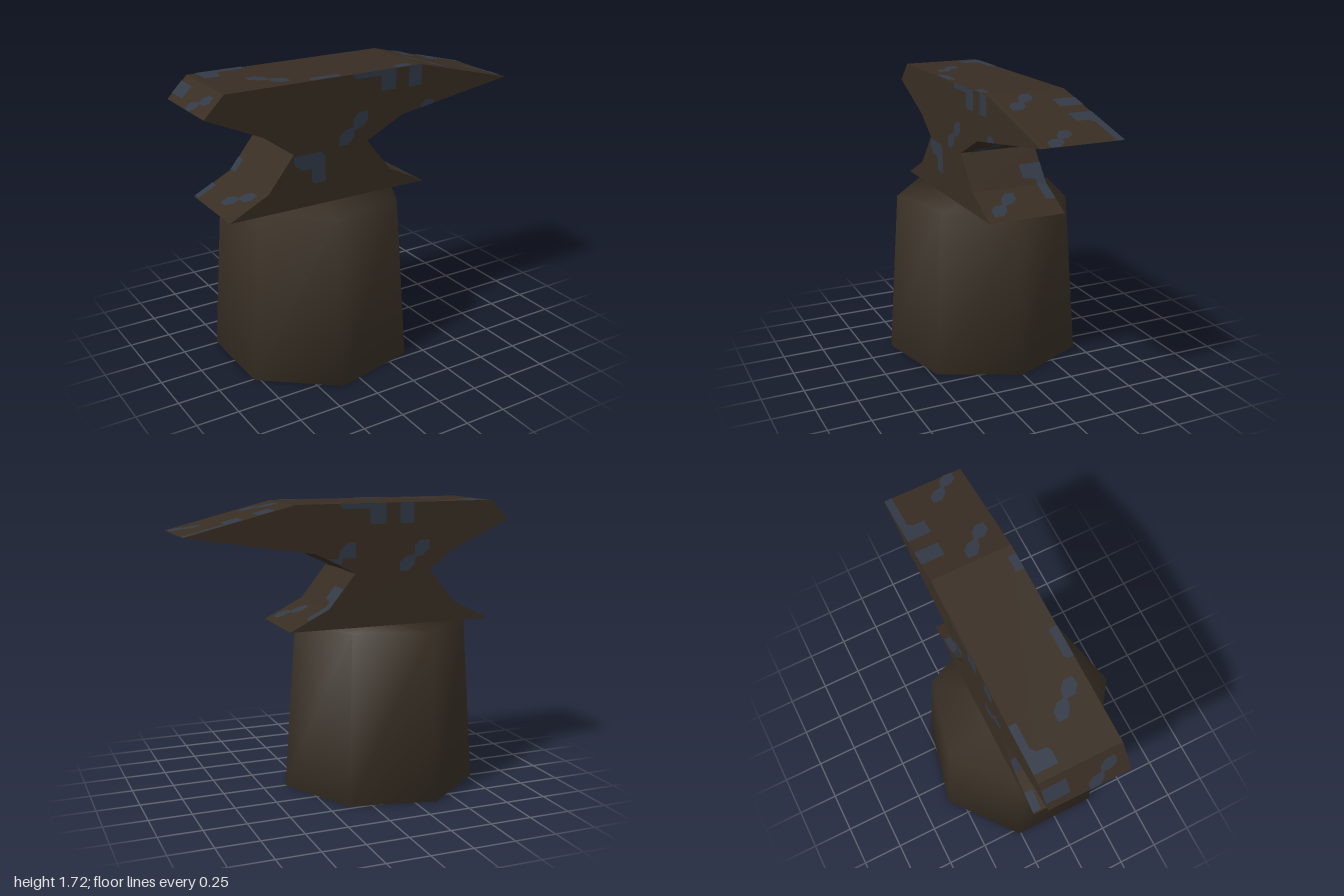
import * as THREE from 'three';
import { mergeVertices } from 'three/addons/utils/BufferGeometryUtils.js';

const HALF = 0.24; // half depth of the anvil
const LIFT = 0.003; // height of the painted patches above the metal

// Anvil outline, counter-clockwise seen from the front
const OUTLINE = [
  [-0.88, 1], [0.4, 1], [0.16, 1.12], [0, 1.32], [0.24, 1.44], [1, 1.56],
  [0.36, 1.72], [-0.88, 1.72], [-1, 1.6], [-0.64, 1.44], [-0.48, 1.32], [-0.64, 1.12],
];

const toShape = (pts) => new THREE.Shape(pts.map(([x, y]) => new THREE.Vector2(x, y)));

const box = (u0, v0, u1, v1) => [[u0, v0], [u1, v0], [u1, v1], [u0, v1]];

// Two blobs joined at a corner
const blob = (u0, v0, u1, v1) => [
  [1, 1], [0.7, 1], [0.5, 0.8], [0.5, 0.55], [0.25, 0.5], [0, 0.3],
  [0, 0], [0.3, 0], [0.5, 0.2], [0.55, 0.45], [0.8, 0.5], [1, 0.7],
].map(([u, v]) => [u0 + u * (u1 - u0), v0 + v * (v1 - v0)]);

export function createModel() {
  const wood = new THREE.MeshStandardMaterial({ color: 0x3a3126 });
  wood.name = 'dark wood';
  const metal = new THREE.MeshStandardMaterial({ color: 0x382d23 });
  metal.name = 'brown metal';
  const tint = new THREE.MeshStandardMaterial({ color: 0x323a47 });
  tint.name = 'blue patina';

  const model = new THREE.Group();
  model.name = 'anvilOnStump';
  const add = (geometry, material, name) => {
    const mesh = new THREE.Mesh(geometry, material);
    mesh.name = name;
    model.add(mesh);
    return mesh;
  };

  // Seven-sided stump, shaded smoothly over the rims
  let stumpGeo = new THREE.CylinderGeometry(0.53, 0.6, 1, 7);
  stumpGeo.deleteAttribute('normal');
  stumpGeo.deleteAttribute('uv');
  stumpGeo = mergeVertices(stumpGeo, 1e-4);
  stumpGeo.computeVertexNormals();
  const stump = add(stumpGeo, wood, 'stump');
  stump.rotation.y = Math.PI / 2;
  stump.position.set(-0.24, 0.5, 0);

  // Anvil body
  const anvilGeo = new THREE.ExtrudeGeometry(toShape(OUTLINE), { depth: 2 * HALF, bevelEnabled: false });
  anvilGeo.translate(0, 0, -HALF);
  add(anvilGeo, metal, 'anvil');

  // Patches on the flat sides; the back uses the same pattern turned around
  const corner = [[-0.1, 1.72], [-0.08, 1.69], [0.09, 1.69], [0.09, 1.6], [0.19, 1.6], [0.19, 1.72]];
  const strip = [[0.28, 1.6], [0.37, 1.6], [0.37, 1.717], [0.36, 1.72], [0.28, 1.72]];
  const frontPatches = [
    corner, strip,
    blob(-0.19, 1.32, 0, 1.5),
    [[0.37, 1.461], [0.46, 1.475], [0.46, 1.49], [0.44, 1.505], [0.4, 1.505], [0.37, 1.48]],
    [[-0.48, 1.31], [-0.48, 1.26], [-0.43, 1.22], [-0.37, 1.22], [-0.37, 1.15],
      [-0.35, 1.13], [-0.28, 1.13], [-0.28, 1.28], [-0.31, 1.31]],
  ];
  const backPatches = [
    corner, strip,
    blob(0.28, 1.32, 0.47, 1.5),
    [[0, 1.5], [-0.05, 1.5], [-0.1, 1.45], [-0.1, 1.41], [-0.17, 1.41], [-0.09, 1.37], [-0.08, 1.41], [0, 1.41]],
  ];
  for (const pts of frontPatches) {
    add(new THREE.ShapeGeometry(toShape(pts)).translate(0, 0, HALF + LIFT), tint, 'frontPatch');
  }
  for (const pts of backPatches) {
    const geo = new THREE.ShapeGeometry(toShape(pts)).translate(0, 0, HALF + LIFT);
    add(geo.rotateY(Math.PI), tint, 'backPatch');
  }

  // Patches on an outline edge: first coordinate is x or y (by axis), second is z
  const edgePatch = (i, axis, pts, name) => {
    const p = OUTLINE[i];
    const q = OUTLINE[(i + 1) % OUTLINE.length];
    const along = new THREE.Vector3(q[0] - p[0], q[1] - p[1], 0);
    const across = new THREE.Vector3(0, 0, 1);
    const normal = along.clone().cross(across).normalize();
    const local = pts.map(([c, z]) => [(c - p[axis]) / (q[axis] - p[axis]), z]);
    const matrix = new THREE.Matrix4().makeBasis(along, across, normal);
    matrix.setPosition(p[0] + normal.x * LIFT, p[1] + normal.y * LIFT, 0);
    add(new THREE.ShapeGeometry(toShape(local)).applyMatrix4(matrix), tint, name);
  };
  const X = 0, Y = 1;

  // Working face
  edgePatch(6, X, [[-0.83, -0.24], [-0.55, -0.24], [-0.55, -0.195], [-0.7, -0.195],
    [-0.73, -0.17], [-0.73, -0.12], [-0.75, -0.1], [-0.83, -0.1]], 'facePatch');
  edgePatch(6, X, blob(-0.645, 0, -0.455, 0.18), 'facePatch');
  edgePatch(6, X, [[-0.36, 0.24], [-0.36, 0.21], [-0.34, 0.19], [-0.17, 0.19], [-0.17, 0.24]], 'facePatch');
  edgePatch(6, X, box(0.2, 0.19, 0.3, 0.24), 'facePatch');

  // Top of the horn
  edgePatch(5, X, box(0.48, -0.24, 0.575, -0.1), 'hornPatch');
  edgePatch(5, X, [[0.66, -0.24], [1, -0.24], [1, -0.195], [0.78, -0.195],
    [0.755, -0.17], [0.755, -0.1], [0.66, -0.1]], 'hornPatch');
  edgePatch(5, X, blob(0.39, 0, 0.575, 0.18), 'hornPatch');
  edgePatch(5, X, blob(0.84, 0, 1, 0.18), 'hornPatch');

  // Heel end
  edgePatch(7, X, box(-0.97, -0.24, -0.91, -0.1), 'heelPatch');
  edgePatch(7, X, blob(-1, 0, -0.91, 0.18), 'heelPatch');

  // Below the horn, the waist and both feet
  edgePatch(3, Y, blob(1.39, 0, 1.32, 0.18), 'throatPatch');
  edgePatch(3, Y, box(1.32, -0.24, 1.35, -0.1), 'throatPatch');
  edgePatch(2, Y, [[1.16, -0.1], [1.23, -0.1], [1.23, -0.24], [1.12, -0.24],
    [1.12, -0.18], [1.15, -0.18]], 'waistPatch');
  edgePatch(10, Y, box(1.12, -0.24, 1.19, -0.18), 'waistPatch');
  edgePatch(1, Y, box(1.06, -0.24, 1.12, -0.18), 'footPatch');
  edgePatch(1, Y, blob(1.1, 0, 1.02, 0.19), 'footPatch');
  edgePatch(11, X, box(-0.87, -0.24, -0.76, -0.19), 'footPatch');
  edgePatch(11, X, blob(-0.82, 0, -0.68, 0.18), 'footPatch');

  return model;
}
